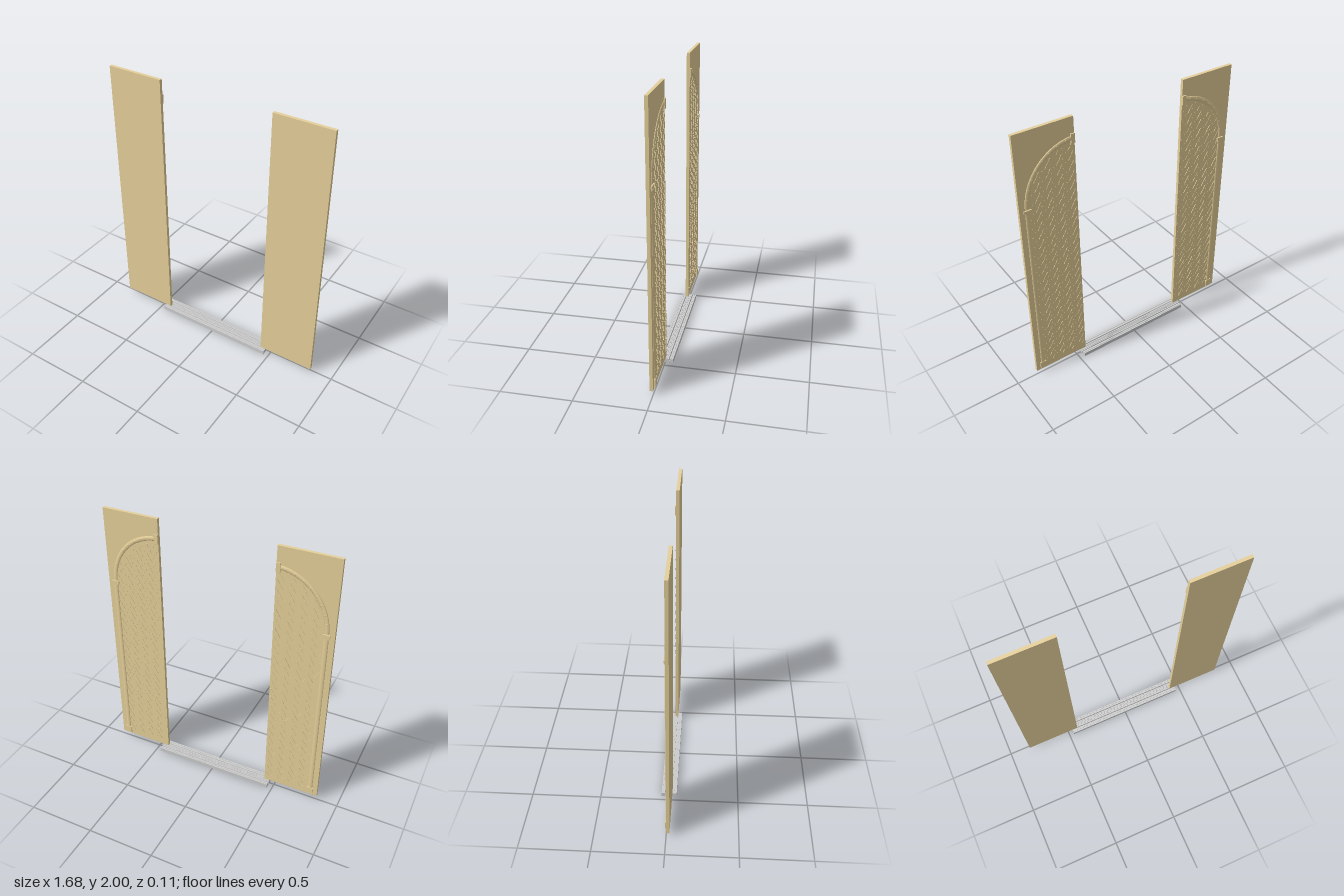
import * as THREE from 'three';
import { mergeGeometries } from 'three/addons/utils/BufferGeometryUtils.js';

const wood = new THREE.MeshStandardMaterial({ color: 0xe6d09a });
const metal = new THREE.MeshStandardMaterial({ color: 0xcccccc });

const INNER = 0.42, OUTER = 0.84, BACK = 0;   // leaf extents and its carved face
const COLUMN_X = 0.785, SPRING_Y = 1.46, RISE = 0.395;

function add(parent, name, geometry, material, x = 0, y = 0, z = 0) {
  const mesh = new THREE.Mesh(geometry, material);
  mesh.name = name;
  mesh.position.set(x, y, z);
  parent.add(mesh);
  return mesh;
}

// True inside the arched field of the lattice
function inField(x, y) {
  if (x < INNER + 0.008 || x > COLUMN_X - 0.025 || y < 0.07) return false;
  if (y < SPRING_Y) return true;
  const u = (x - INNER) / (COLUMN_X - INNER - 0.02);
  const v = (y - SPRING_Y) / (RISE - 0.025);
  return u * u + v * v < 1;
}

// Shallow carved lattice of short crossing bars
function latticeGeometry(side) {
  const bars = [], stepX = 0.042, stepY = 0.036;
  for (let row = 0; row < 52; row++) {
    for (let col = 0; col < 10; col++) {
      const x = INNER + (col + (row % 2) / 2) * stepX;
      const y = 0.06 + row * stepY;
      if (!inField(x, y)) continue;
      const lean = (row + col) % 2 ? 1 : -1;
      const bar = new THREE.BoxGeometry(0.005, 0.036, 0.004);
      bar.rotateZ(side * lean * Math.PI / 6);
      bar.translate(side * x, y, BACK - 0.001);
      bars.push(bar);
    }
  }
  return mergeGeometries(bars);
}

function createLeaf(side) {
  const leaf = new THREE.Group();
  leaf.name = side > 0 ? 'leftDoor' : 'rightDoor';

  add(leaf, 'panel', new THREE.BoxGeometry(OUTER - INNER, 1.97, 0.023), wood,
    side * (INNER + OUTER) / 2, 1.015, 0.0115);
  add(leaf, 'lattice', latticeGeometry(side), wood);

  // Column with base and capital
  const x = side * COLUMN_X;
  const column = add(leaf, 'column', new THREE.CylinderGeometry(0.016, 0.016, 1.36, 16), wood, x, 0.77, BACK);
  column.scale.z = 0.4;
  add(leaf, 'columnBase', new THREE.BoxGeometry(0.048, 0.06, 0.018), wood, x, 0.07, BACK);
  add(leaf, 'columnNeck', new THREE.BoxGeometry(0.038, 0.014, 0.015), wood, x, 1.432, BACK);
  add(leaf, 'columnCapital', new THREE.BoxGeometry(0.054, 0.018, 0.018), wood, x, 1.447, BACK);

  // Quarter arch rising to the meeting edge
  const r = COLUMN_X - INNER;
  const archGeo = new THREE.TorusGeometry(r, 0.015, 8, 32, Math.PI / 2);
  archGeo.scale(1, RISE / r, 0.4);
  if (side < 0) archGeo.rotateY(Math.PI);
  add(leaf, 'arch', archGeo, wood, side * INNER, SPRING_Y, BACK);

  // Small beads along the arch
  for (let i = 1; i < 9; i++) {
    const a = i / 9 * Math.PI / 2;
    const bead = add(leaf, 'archBead', new THREE.SphereGeometry(0.007, 8, 6), wood,
      side * (INNER + r * Math.cos(a)), SPRING_Y + RISE * Math.sin(a), BACK - 0.004);
    bead.scale.z = 0.5;
  }
  add(leaf, 'keystone', new THREE.BoxGeometry(0.028, 0.066, 0.018), wood,
    side * (INNER + 0.014), 1.853, BACK);
  return leaf;
}

// Threshold profile (z, y) with two running grooves and fine treads
function createThreshold() {
  const top = [], h = 0.03;
  const groove = (z, w, d) => top.push([z - w, h], [z - w, h - d], [z + w, h - d], [z + w, h]);
  groove(-0.045, 0.0015, 0.003);
  groove(-0.028, 0.003, 0.018);
  groove(-0.014, 0.0015, 0.003);
  groove(-0.004, 0.0015, 0.003);
  groove(0.006, 0.0015, 0.003);
  groove(0.021, 0.003, 0.018);
  groove(0.04, 0.0015, 0.003);
  const outline = [[-0.056, 0], [-0.056, h], ...top, [0.054, h], [0.054, 0],
    [0.035, 0], [0.035, 0.005], [0.008, 0.005], [0.008, 0],
    [-0.01, 0], [-0.01, 0.005], [-0.037, 0.005], [-0.037, 0]];
  const shape = new THREE.Shape(outline.map(([z, y]) => new THREE.Vector2(-z, y)));
  const geo = new THREE.ExtrudeGeometry(shape, { depth: 0.926, bevelEnabled: false });
  geo.translate(0, 0, -0.463);
  geo.rotateY(Math.PI / 2);
  return geo;
}

export function createModel() {
  const model = new THREE.Group();
  model.name = 'doubleDoor';
  add(model, 'threshold', createThreshold(), metal);
  for (const side of [1, -1]) model.add(createLeaf(side));
  return model;
}
